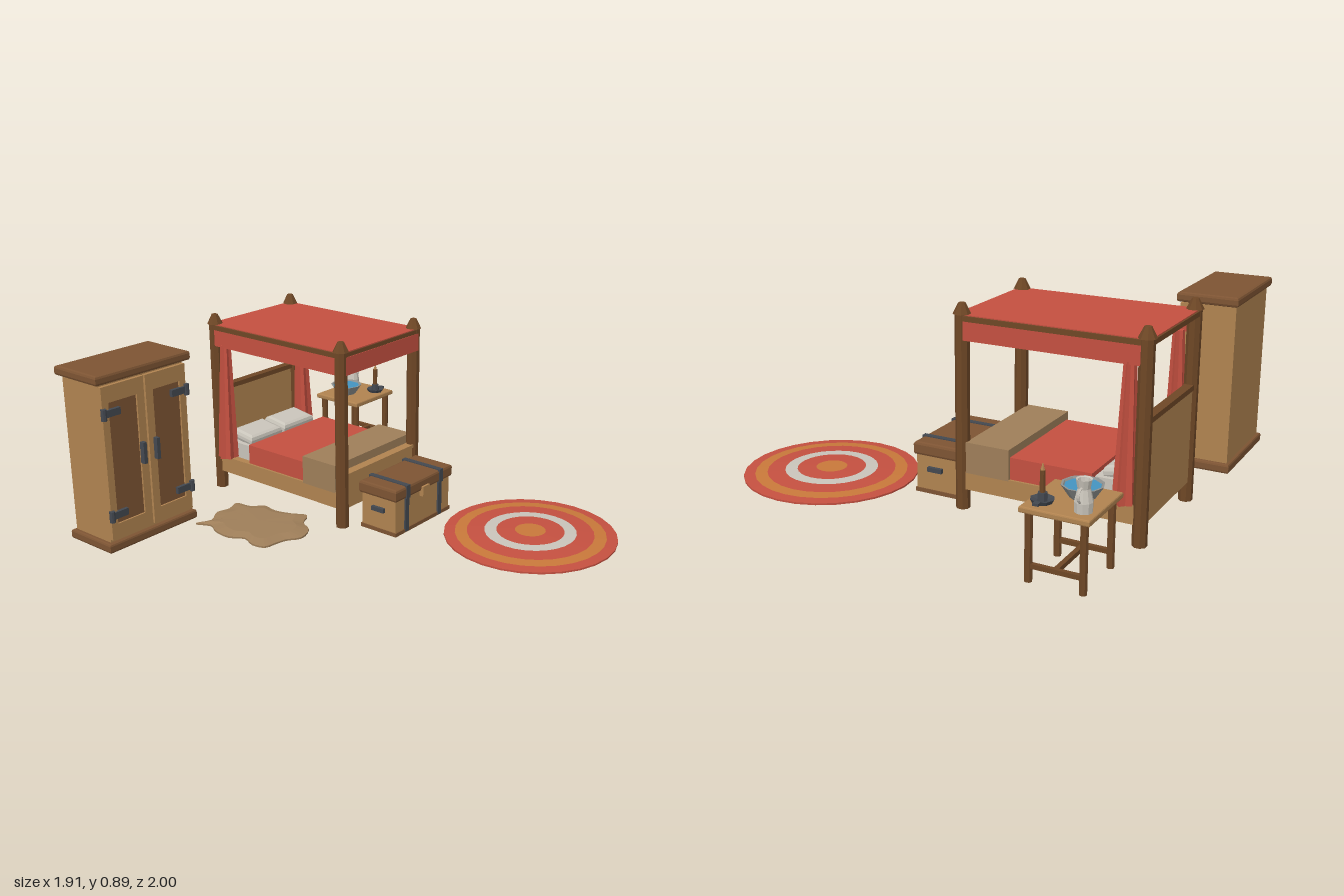
import * as THREE from 'three';

const mat = (name, color) => {
  const m = new THREE.MeshStandardMaterial({ color, side: THREE.DoubleSide, flatShading: true });
  m.name = name;
  return m;
};

export function createModel() {
  const lightWood = mat('light wood', 0xb08350);
  const darkWood = mat('dark wood', 0x7d5433);
  const postWood = mat('post wood', 0x6e4726);
  const red = mat('red cloth', 0xc45040);
  const orange = mat('orange cloth', 0xc8783a);
  const white = mat('off white cloth', 0xc9c4ba);
  const iron = mat('iron', 0x434850);
  const water = mat('water', 0x4494c0);
  const fur = mat('tan fur', 0x9e7e59);
  const pewter = mat('pewter', 0x8f9290);

  const root = new THREE.Group();
  const group = (name) => {
    const g = new THREE.Group();
    g.name = name;
    root.add(g);
    return g;
  };
  const add = (g, name, geo, m, x = 0, y = 0, z = 0) => {
    const mesh = new THREE.Mesh(geo, m);
    mesh.name = name;
    mesh.position.set(x, y, z);
    g.add(mesh);
    return mesh;
  };
  // Box given by its extents on each axis
  const box = (g, name, m, x0, x1, y0, y1, z0, z1) =>
    add(g, name, new THREE.BoxGeometry(x1 - x0, y1 - y0, z1 - z0), m, (x0 + x1) / 2, (y0 + y1) / 2, (z0 + z1) / 2);
  // Upright cylinder standing between two heights
  const cyl = (g, name, m, x, z, y0, y1, r0, r1 = r0, n = 8) =>
    add(g, name, new THREE.CylinderGeometry(r1, r0, y1 - y0, n), m, x, (y0 + y1) / 2, z);
  // Slab with bevelled edges
  const slab = (g, name, m, x0, x1, y0, y1, z0, z1, b) => {
    const w = (x1 - x0) / 2 - b, d = (z1 - z0) / 2 - b;
    const s = new THREE.Shape([[-w, -d], [w, -d], [w, d], [-w, d]].map((p) => new THREE.Vector2(...p)));
    const geo = new THREE.ExtrudeGeometry(s, { depth: y1 - y0 - 2 * b, bevelSize: b, bevelThickness: b, bevelSegments: 2 });
    geo.translate(0, 0, b).rotateX(-Math.PI / 2);
    return add(g, name, geo, m, (x0 + x1) / 2, y0, (z0 + z1) / 2);
  };

  // Wardrobe
  const w = group('wardrobe');
  const wx = -0.697;
  box(w, 'wardrobeBody', lightWood, wx - 0.235, wx + 0.235, 0.03, 0.79, -0.985, -0.745);
  slab(w, 'wardrobeBase', darkWood, wx - 0.255, wx + 0.255, 0, 0.045, -1, -0.725, 0.01);
  slab(w, 'wardrobeTop', darkWood, wx - 0.263, wx + 0.263, 0.775, 0.82, -1, -0.72, 0.012);
  for (const s of [-1, 1]) {
    const span = (name, m, a, b, y0, y1, z0, z1) =>
      box(w, name, m, wx + Math.min(s * a, s * b), wx + Math.max(s * a, s * b), y0, y1, z0, z1);
    span('doorStileInner', lightWood, 0.005, 0.045, 0.06, 0.765, -0.75, -0.728);
    span('doorStileOuter', lightWood, 0.2, 0.235, 0.06, 0.765, -0.75, -0.728);
    span('doorRailBottom', lightWood, 0.045, 0.2, 0.06, 0.13, -0.75, -0.728);
    span('doorRailTop', lightWood, 0.045, 0.2, 0.69, 0.765, -0.75, -0.728);
    span('doorPanel', darkWood, 0.045, 0.2, 0.13, 0.69, -0.75, -0.737);
    for (const y of [0.175, 0.645]) {
      span('hingeStrap', iron, 0.145, 0.238, y - 0.016, y + 0.016, -0.735, -0.718);
      cyl(w, 'hingePin', iron, wx + s * 0.233, -0.722, y - 0.026, y + 0.026, 0.013);
    }
    span('doorHandle', iron, 0.029, 0.047, 0.37, 0.47, -0.73, -0.705);
  }

  // Four poster bed
  const bed = group('bed');
  const bx = 0.185, hx = 0.265, zf = -0.13, zb = -0.925;
  for (const x of [bx - hx, bx + hx]) {
    for (const z of [zf, zb]) {
      cyl(bed, 'bedPost', postWood, x, z, 0, 0.84, 0.031).rotation.y = Math.PI / 8;
      cyl(bed, 'postFinial', postWood, x, z, 0.84, 0.886, 0.038, 0.015).rotation.y = Math.PI / 8;
    }
    const s = Math.sign(x - bx);
    box(bed, 'sideRail', lightWood, x - 0.018, x + 0.018, 0.09, 0.17, zb, zf);
    box(bed, 'canopyRail', postWood, x + s * 0.005 - 0.022, x + s * 0.005 + 0.022, 0.815, 0.837, zb, zf);
    box(bed, 'sideValance', red, x + s * 0.02 - 0.004, x + s * 0.02 + 0.004, 0.735, 0.818, zb, zf);

    // Gathered curtain: a fluted cone flaring outwards towards the floor
    const geo = new THREE.CylinderGeometry(0.028, 0.055, 0.57, 12, 1);
    const p = geo.attributes.position;
    for (let i = 0; i < p.count; i++) {
      const fold = Math.round((Math.atan2(p.getZ(i), p.getX(i)) / Math.PI) * 6) % 2 ? 0.75 : 1;
      const shift = p.getY(i) < 0 ? s * 0.012 : 0;
      p.setXYZ(i, p.getX(i) * fold + shift, p.getY(i), p.getZ(i) * fold * 0.9);
    }
    geo.computeVertexNormals();
    add(bed, 'curtain', geo, red, x + s * 0.0, 0.46, -0.86);
  }
  box(bed, 'footRail', lightWood, bx - hx, bx + hx, 0.09, 0.245, zf - 0.018, zf + 0.018);
  box(bed, 'footRailCap', lightWood, bx - hx, bx + hx, 0.245, 0.26, zf - 0.022, zf + 0.022);
  box(bed, 'headboard', lightWood, bx - hx, bx + hx, 0.09, 0.5, zb - 0.015, zb + 0.015);
  box(bed, 'headboardCap', postWood, bx - hx, bx + hx, 0.5, 0.523, zb - 0.02, zb + 0.02);
  for (const z of [zf + 0.005, zb - 0.005])
    box(bed, 'canopyCrossRail', postWood, bx - hx, bx + hx, 0.815, 0.837, z - 0.022, z + 0.022);
  box(bed, 'frontValance', red, bx - hx, bx + hx, 0.735, 0.818, zf + 0.022, zf + 0.03);
  box(bed, 'canopyRoof', red, bx - 0.283, bx + 0.283, 0.832, 0.841, -0.945, -0.108);

  // Bedding
  box(bed, 'mattress', white, bx - 0.245, bx + 0.245, 0.11, 0.245, zb + 0.015, zf - 0.02);
  box(bed, 'redBlanket', red, bx - 0.272, bx + 0.272, 0.17, 0.265, -0.72, -0.3);
  box(bed, 'foldedBlanket', fur, bx - 0.285, bx + 0.285, 0.165, 0.3, -0.355, -0.155);
  for (const s of [-1, 1]) {
    const px = bx + s * 0.118;
    slab(bed, 'pillow', white, px - 0.108, px + 0.108, 0.24, 0.295, -0.89, -0.75, 0.02).rotation.x = 0.15;
  }

  // Chest
  const chest = group('chest');
  box(chest, 'chestBody', lightWood, -0.02, 0.39, 0.012, 0.175, -0.06, 0.135);
  box(chest, 'chestBase', darkWood, -0.025, 0.395, 0, 0.018, -0.065, 0.14);
  slab(chest, 'chestLid', darkWood, -0.03, 0.4, 0.17, 0.23, -0.07, 0.145, 0.012);
  for (const x of [0.058, 0.31]) {
    box(chest, 'bodyStrap', iron, x - 0.013, x + 0.013, 0.005, 0.175, -0.067, 0.143);
    box(chest, 'lidStrap', iron, x - 0.013, x + 0.013, 0.17, 0.234, -0.074, 0.149);
  }
  box(chest, 'latch', lightWood, 0.16, 0.21, 0.145, 0.193, 0.13, 0.156);
  for (const x of [-0.027, 0.397])
    box(chest, 'chestHandle', iron, x - 0.01, x + 0.01, 0.105, 0.125, 0.005, 0.075);

  // Side table
  const table = group('sideTable');
  slab(table, 'tableTop', lightWood, 0.65, 0.955, 0.275, 0.3, -0.93, -0.65, 0.006);
  for (const x of [0.68, 0.928]) {
    for (const z of [-0.9, -0.68]) cyl(table, 'tableLeg', postWood, x, z, 0, 0.277, 0.016);
    box(table, 'sideStretcher', postWood, x - 0.009, x + 0.009, 0.056, 0.075, -0.9, -0.68);
  }
  box(table, 'middleStretcher', postWood, 0.68, 0.928, 0.056, 0.075, -0.8, -0.78);

  // Objects on the table
  const lathe = (name, m, x, z, pts, n) =>
    add(table, name, new THREE.LatheGeometry(pts.map((p) => new THREE.Vector2(...p)), n), m, x, 0.3, z);
  lathe('bowl', pewter, 0.76, -0.815, [[0, 0], [0.05, 0], [0.083, 0.05], [0.075, 0.05], [0.045, 0.008], [0, 0.008]], 10);
  cyl(table, 'bowlWater', water, 0.76, -0.815, 0.338, 0.344, 0.07, 0.077, 10);
  lathe('pitcher', white, 0.885, -0.875, [[0, 0], [0.034, 0], [0.036, 0.04], [0.024, 0.09], [0.031, 0.125], [0.024, 0.122], [0.018, 0.09], [0, 0.09]], 10);
  const handle = add(table, 'pitcherHandle', new THREE.TorusGeometry(0.026, 0.005, 5, 8, Math.PI), white, 0.91, 0.37, -0.875);
  handle.rotation.z = -Math.PI / 2;
  lathe('candleDish', iron, 0.88, -0.71, [[0, 0], [0.038, 0], [0.047, 0.016], [0.02, 0.008], [0.018, 0.04], [0, 0.04]], 8);
  cyl(table, 'candle', postWood, 0.88, -0.71, 0.335, 0.425, 0.011);
  cyl(table, 'candleTip', lightWood, 0.88, -0.71, 0.425, 0.45, 0.009, 0.002, 6);
  box(table, 'candleDishHandle', iron, 0.915, 0.94, 0.306, 0.316, -0.722, -0.698);

  // Round rug: shallow dome made of coloured rings
  const rug = group('roundRug');
  const radii = [0, 0.07, 0.155, 0.21, 0.29, 0.345, 0.395];
  const bands = [orange, red, white, red, orange, red];
  const height = (r) => 0.008 + 0.018 * (1 - (r / 0.395) ** 2);
  bands.forEach((m, i) => {
    const pts = [radii[i], radii[i + 1]].map((r) => new THREE.Vector2(r, height(r)));
    add(rug, 'rugRing', new THREE.LatheGeometry(pts.reverse(), 28), m, 0.385, 0, 0.6);
  });
  cyl(rug, 'rugBase', red, 0.385, 0.6, 0, 0.008, 0.395, 0.395, 28);

  // Animal hide rug with a wavy outline
  const hide = group('hideRug');
  const outline = [[-0.5, -0.67], [-0.43, -0.64], [-0.35, -0.685], [-0.285, -0.67], [-0.215, -0.69], [-0.2, -0.61],
    [-0.153, -0.56], [-0.163, -0.485], [-0.14, -0.4], [-0.107, -0.327], [-0.18, -0.285], [-0.22, -0.215],
    [-0.305, -0.183], [-0.365, -0.22], [-0.415, -0.232], [-0.48, -0.245], [-0.495, -0.31], [-0.47, -0.38],
    [-0.507, -0.445], [-0.5, -0.54], [-0.47, -0.6]];
  const curve = new THREE.CatmullRomCurve3(outline.map(([x, z]) => new THREE.Vector3(x, 0, z)), true);
  const rim = curve.getPoints(63).slice(0, 63);
  const pos = [], idx = [], n = rim.length;
  for (const [k, y] of [[0, 0.002], [1, 0.002], [1, 0.01], [0.75, 0.02], [0, 0.021]])
    for (const p of rim) pos.push(-0.31 + (p.x + 0.31) * k, y, -0.44 + (p.z + 0.44) * k);
  for (let r = 0; r < 4; r++)
    for (let i = 0; i < n; i++) {
      const a = r * n + i, b = r * n + ((i + 1) % n);
      idx.push(a, a + n, b, b, a + n, b + n);
    }
  const hideGeo = new THREE.BufferGeometry();
  hideGeo.setAttribute('position', new THREE.Float32BufferAttribute(pos, 3));
  hideGeo.setIndex(idx);
  hideGeo.computeVertexNormals();
  add(hide, 'hide', hideGeo, fur);

  return root;
}
